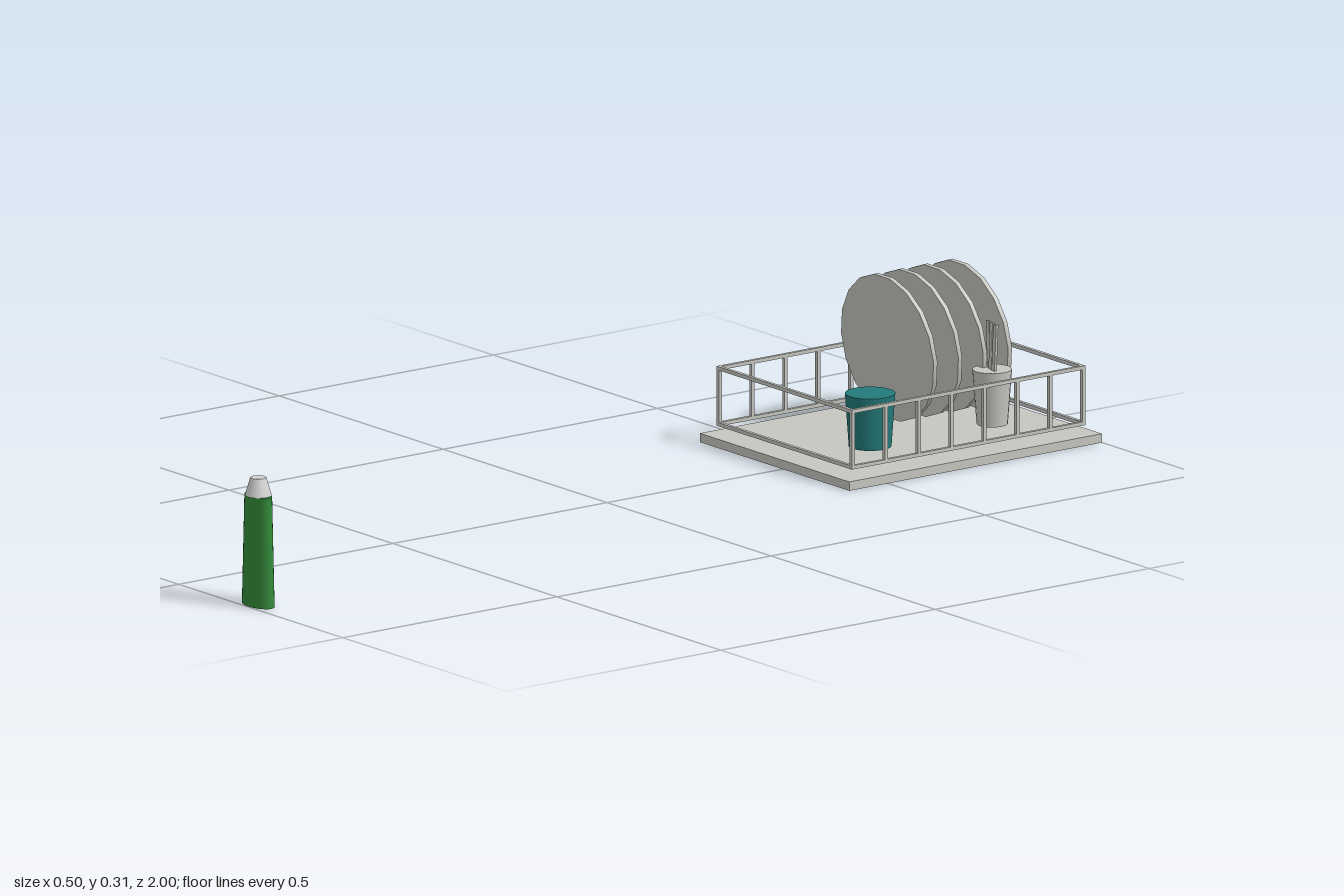
import * as THREE from 'three';

const mat = (name, color, flatShading = false) => {
  const m = new THREE.MeshStandardMaterial({ color });
  m.name = name;
  m.flatShading = flatShading;
  return m;
};

export function createModel() {
  const root = new THREE.Group();
  root.name = 'dishRackSet';
  const grey = mat('paleGrey', 0xc6c6c1);
  const white = mat('capWhite', 0xd4d4d2);
  const teal = mat('teal', 0x237a7a);
  const green = mat('green', 0x348a3a);

  const add = (parent, name, geometry, material, x, y, z) => {
    const mesh = new THREE.Mesh(geometry, material);
    mesh.name = name;
    mesh.position.set(x, y, z);
    parent.add(mesh);
    return mesh;
  };
  const box = (parent, name, w, h, d, x, y, z) =>
    add(parent, name, new THREE.BoxGeometry(w, h, d), grey, x, y, z);

  // Drip tray
  box(root, 'tray', 0.456, 0.017, 0.59, -0.025, 0.0085, -0.705);

  // Wire rack: two rail frames, joined by posts on the long sides
  const rack = new THREE.Group();
  rack.name = 'rack';
  root.add(rack);
  const t = 0.007, cx = -0.025, cz = -0.705, hx = 0.203, hz = 0.269;
  for (const y of [0.036, 0.143]) {
    for (const s of [-1, 1]) {
      box(rack, 'sideRail', t, t, 2 * hz + t, cx + s * hx, y, cz);
      box(rack, 'endRail', 2 * hx + t, t, t, cx, y, cz + s * hz);
    }
  }
  for (const s of [-1, 1]) {
    for (let i = 0; i < 8; i++) {
      box(rack, 'post', t, 0.107, t, cx + s * hx, 0.0895, cz - hz + (i * 2 * hz) / 7);
    }
  }

  // Leaning plates
  for (let i = 0; i < 4; i++) {
    const g = new THREE.CylinderGeometry(0.141, 0.141, 0.009, 18);
    g.rotateY(Math.PI / 2);
    g.rotateX(Math.PI / 2);
    const plate = add(root, 'plate', g, grey, -0.075, 0.17, -0.716 - i * 0.058);
    plate.rotation.x = 0.09;
  }

  // Drinking cup
  add(root, 'cup', new THREE.CylinderGeometry(0.047, 0.04, 0.101, 24), teal, 0.077, 0.0885, -0.555);

  // Cutlery holder and cutlery
  add(root, 'cutleryHolder', new THREE.CylinderGeometry(0.037, 0.029, 0.105, 20), grey, 0.077, 0.088, -0.84);
  [[0.066, 0.05], [0.077, -0.03], [0.092, -0.06]].forEach(([x, tilt], i) => {
    const piece = box(root, 'cutlery', 0.009, 0.13, 0.005, x, 0.165, -0.842 + i * 0.004);
    piece.rotation.z = tilt;
  });

  // Soap bottle with an oval body and a round cap
  const body = new THREE.CylinderGeometry(0.034, 0.04, 0.21, 28);
  body.scale(1, 1, 0.57);
  add(root, 'bottleBody', body, green, 0.21, 0.105, 0.975);
  add(root, 'bottleCap', new THREE.CylinderGeometry(0.015, 0.025, 0.034, 20), white, 0.21, 0.227, 0.975);

  return root;
}
